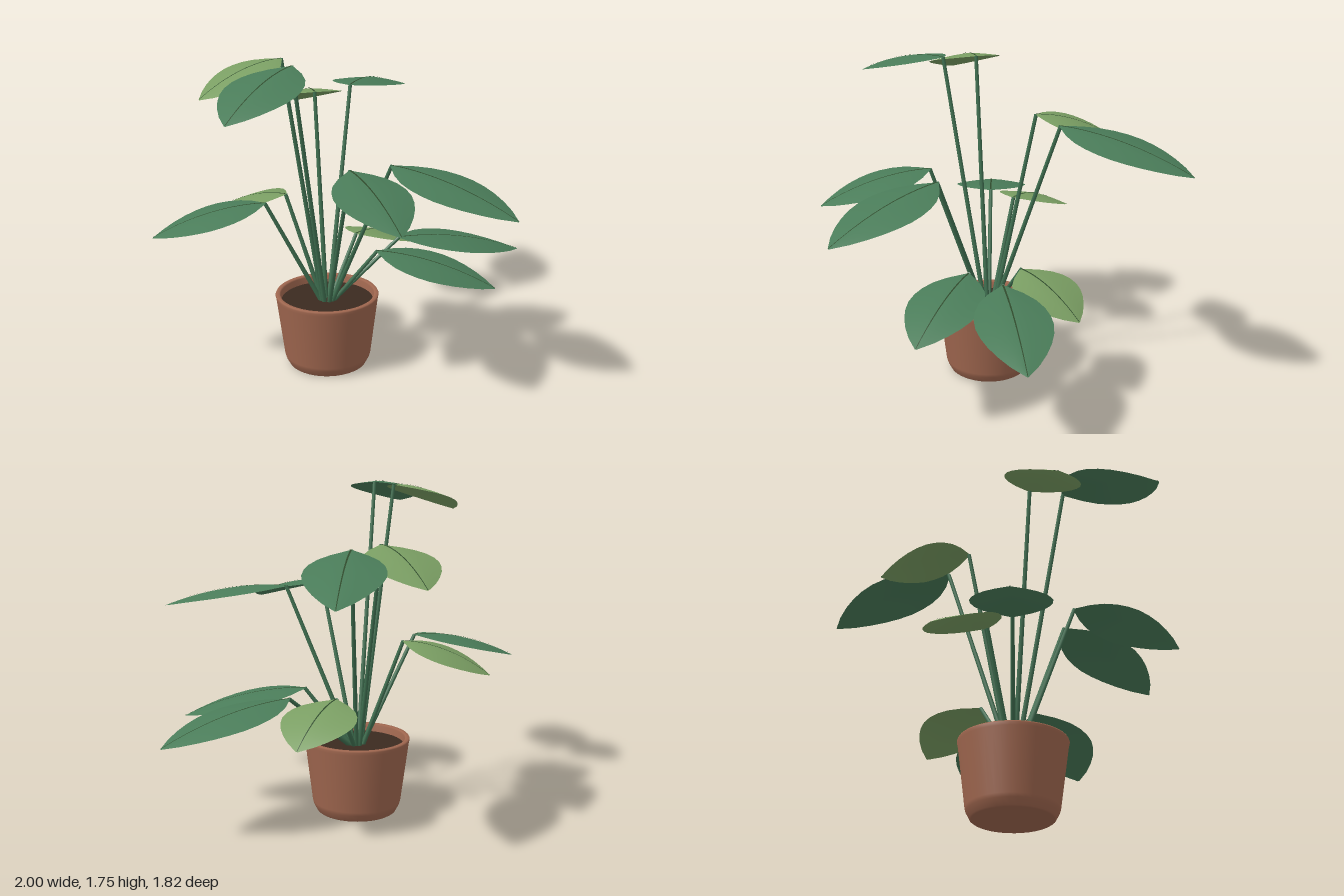
import * as THREE from 'three';

const mat = (name, color, side = THREE.FrontSide) => {
  const m = new THREE.MeshStandardMaterial({ color, side });
  m.name = name;
  return m;
};

const CENTRE = new THREE.Vector3(-0.09, 0, -0.235); // pot axis

// Each leaf: base x, y, z (top of its stem), tip x, z, and whether it is a young pale leaf
const LEAVES = [
  [-0.33, 0.95, -0.46, -0.77, -0.866, false],
  [-0.15, 0.95, -0.47, -0.26, -0.914, true],
  [0.06, 1.485, -0.43, 0.34, -0.797, true],
  [0.30, 1.485, -0.375, 0.995, -0.625, false],
  [0.17, 0.68, -0.235, 0.615, -0.235, true],
  [0.27, 0.68, -0.01, 0.88, 0.385, false],
  [0.03, 0.68, 0.02, 0.30, 0.605, false],
  [-0.045, 1.21, 0.17, 0.01, 0.905, false],
  [-0.245, 1.21, 0.055, -0.515, 0.58, false],
  [-0.41, 1.75, -0.18, -1.0, -0.08, false],
  [-0.315, 1.75, -0.333, -0.73, -0.513, true],
];

// Half width along the leaf, from base to tip
const OUTLINE = [0.06, 0.47, 0.75, 0.91, 0.99, 1, 0.93, 0.8, 0.61, 0.36, 0.02];
const HALF_WIDTH = 0.2, DROOP = 0.16, FOLD = 0.028;

// Sheet lying along -z that droops to the tip and folds down from its midrib
function leafSheet(length, across, halfWidth, fold, lift) {
  const g = new THREE.PlaneGeometry(2, 1, across, OUTLINE.length - 1);
  const p = g.attributes.position;
  for (let i = 0; i < p.count; i++) {
    const u = p.getX(i), t = p.getY(i) + 0.5;
    const w = halfWidth(t);
    const y = lift - DROOP * t * t - fold * Math.pow(Math.abs(u), 1.4) * w / HALF_WIDTH;
    p.setXYZ(i, u * w, y, -t * length);
  }
  g.computeVertexNormals();
  return g;
}

function stemBetween(a, b, material) {
  const dir = b.clone().sub(a);
  const mesh = new THREE.Mesh(new THREE.CylinderGeometry(0.01, 0.013, dir.length(), 8), material);
  mesh.position.copy(a).add(b).multiplyScalar(0.5);
  mesh.quaternion.setFromUnitVectors(new THREE.Vector3(0, 1, 0), dir.normalize());
  mesh.name = 'stem';
  return mesh;
}

export function createModel() {
  const model = new THREE.Group();
  model.name = 'pottedPlant';
  const terracotta = mat('terracotta', 0xa0674f);
  const earth = mat('soil', 0x3b2a20);
  const deepGreen = mat('deepGreen', 0x4a7c59, THREE.DoubleSide);
  const paleGreen = mat('paleGreen', 0x7a9e63, THREE.DoubleSide);
  const stemGreen = mat('stemGreen', 0x3f6f50);
  const veinGreen = mat('veinGreen', 0x2f4a2c, THREE.DoubleSide);

  // Pot: tapered wall with softened foot and rolled rim
  const profile = [
    [0, 0], [0.205, 0], [0.214, 0.006], [0.232, 0.04], [0.238, 0.06],
    [0.28, 0.39], [0.284, 0.405], [0.28, 0.413], [0.262, 0.413], [0.256, 0.405], [0.25, 0.34],
  ].map(([r, y]) => new THREE.Vector2(r, y));
  const pot = new THREE.Mesh(new THREE.LatheGeometry(profile, 40), terracotta);
  pot.position.copy(CENTRE);
  pot.name = 'pot';
  model.add(pot);

  // Soil disc just below the rim
  const soil = new THREE.Mesh(new THREE.CylinderGeometry(0.253, 0.25, 0.02, 40), earth);
  soil.position.copy(CENTRE).setY(0.36);
  soil.name = 'soil';
  model.add(soil);

  // Stems fan out from the middle of the soil, each carrying one leaf
  for (const [x, y, z, tipX, tipZ, young] of LEAVES) {
    const plantPart = new THREE.Group();
    plantPart.name = 'leafStalk';
    const base = new THREE.Vector3(x, y, z);
    const out = base.clone().sub(CENTRE).setY(0).normalize();
    const root = CENTRE.clone().addScaledVector(out, 0.028).setY(0.355);
    plantPart.add(stemBetween(root, base, stemGreen));

    const length = Math.hypot(tipX - x, tipZ - z);
    const leaf = new THREE.Group();
    leaf.name = 'leaf';
    leaf.position.copy(base);
    leaf.rotation.y = Math.atan2(x - tipX, z - tipZ);
    const outline = t => HALF_WIDTH * OUTLINE[Math.round(t * (OUTLINE.length - 1))];
    const blade = new THREE.Mesh(leafSheet(length, 6, outline, FOLD, 0), young ? paleGreen : deepGreen);
    blade.name = 'blade';
    // Narrow vein along the top of the midrib
    const vein = new THREE.Mesh(leafSheet(length, 1, t => 0.005 - 0.003 * t, 0, 0.003), veinGreen);
    vein.name = 'midrib';
    leaf.add(blade, vein);
    plantPart.add(leaf);
    model.add(plantPart);
  }
  return model;
}
